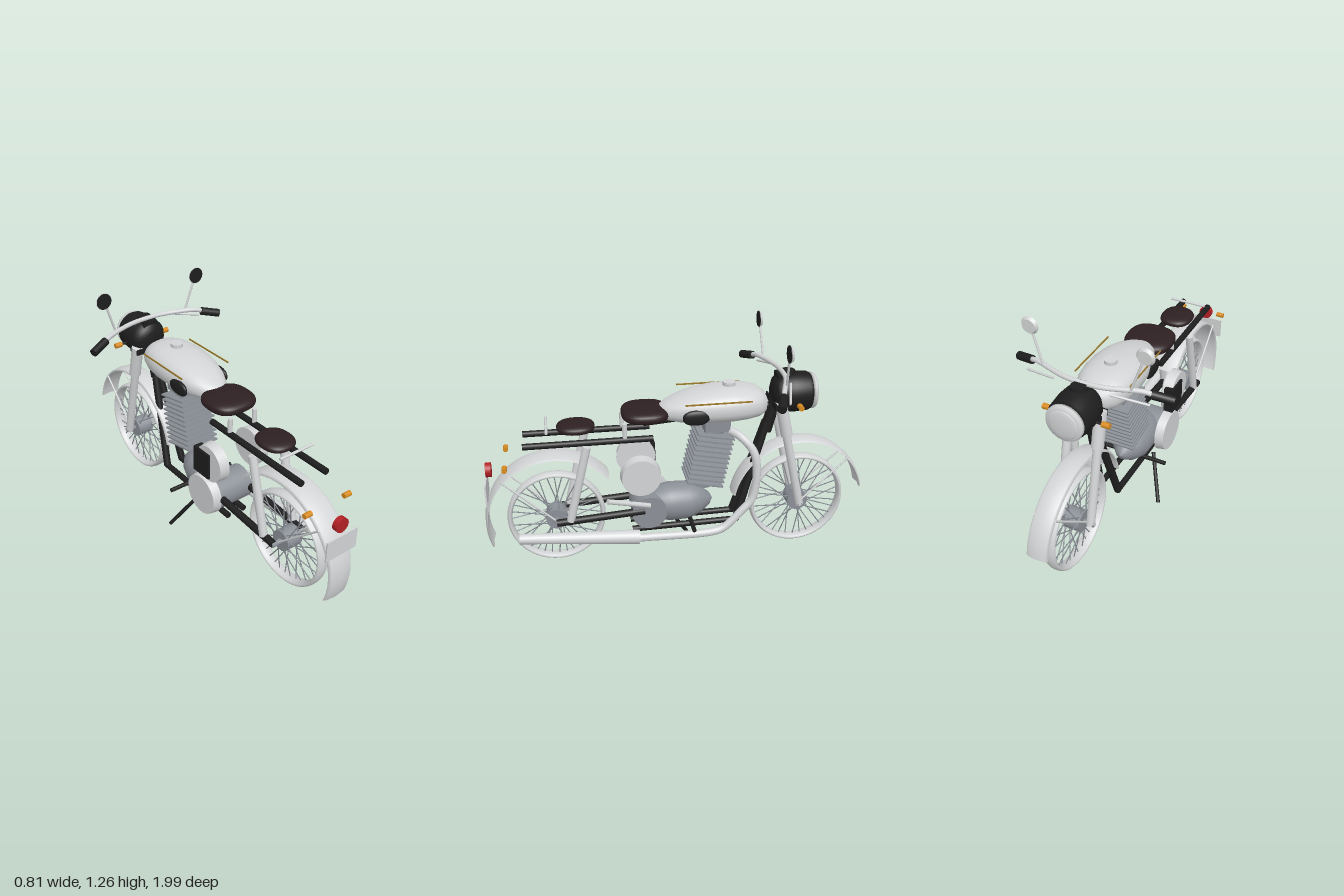
import * as THREE from 'three';

const mat = (name, color, side = THREE.FrontSide) => {
  const m = new THREE.MeshStandardMaterial({ color, side });
  m.name = name;
  return m;
};
const V = (p) => new THREE.Vector3(...p);

export function createModel() {
  const silver = mat('silver', 0xd2d4d5, THREE.DoubleSide);
  const black = mat('black', 0x1e1e1e, THREE.DoubleSide);
  const steel = mat('engineSteel', 0x8b9097);
  const leather = mat('darkLeather', 0x2e2022);
  const orange = mat('orangeLens', 0xd98c20);
  const red = mat('redLens', 0xb22024);
  const gold = mat('goldStripe', 0x9c7a2c);

  const model = new THREE.Group();
  model.name = 'motorcycle';
  const add = (name, geo, m, pos = [0, 0, 0], parent = model) => {
    const mesh = new THREE.Mesh(geo, m);
    mesh.name = name;
    mesh.position.set(...pos);
    parent.add(mesh);
    return mesh;
  };
  // Straight round bar between two points, optionally tapered
  const bar = (name, a, b, r, m, r2 = r, parent = model, sides = 14) => {
    const A = V(a), B = V(b), d = B.clone().sub(A);
    const mesh = add(name, new THREE.CylinderGeometry(r2, r, d.length(), sides), m, [0, 0, 0], parent);
    mesh.position.copy(A).add(B).multiplyScalar(0.5);
    mesh.quaternion.setFromUnitVectors(new THREE.Vector3(0, 1, 0), d.normalize());
    return mesh;
  };
  const tube = (name, pts, r, m) =>
    add(name, new THREE.TubeGeometry(new THREE.CatmullRomCurve3(pts.map(V), false, 'centripetal'), 48, r, 12), m);
  const box = (name, size, m, pos) => add(name, new THREE.BoxGeometry(...size), m, pos);
  const mirror = (fn) => [1, -1].forEach(fn);
  // Rounded pad: sphere pushed towards a box
  const pad = (name, size, k, m, pos) => {
    const g = new THREE.SphereGeometry(1, 32, 20), p = g.attributes.position;
    const f = (v) => Math.sign(v) * Math.abs(v) ** k;
    for (let i = 0; i < p.count; i++) p.setXYZ(i, f(p.getX(i)) * size[0], f(p.getY(i)) * size[1], f(p.getZ(i)) * size[2]);
    g.computeVertexNormals();
    return add(name, g, m, pos);
  };
  // Ring or arc around the x axis from a (radius, x) profile; angles run from +z to +y
  const spin = (pts, seg, from = 0, sweep = 360) =>
    new THREE.LatheGeometry(pts.map((p) => new THREE.Vector2(...p)), seg,
      THREE.MathUtils.degToRad(from), THREE.MathUtils.degToRad(sweep)).rotateZ(Math.PI / 2);

  // Wheels: slim rim, hub and crossed spokes
  const wheel = (name, y, z, R) => {
    const g = new THREE.Group();
    g.name = name;
    g.position.set(0, y, z);
    model.add(g);
    const prof = [];
    for (let i = 0; i <= 12; i++) {
      const a = (i / 12) * Math.PI * 2;
      prof.push([R - 0.013 + 0.013 * Math.cos(a), 0.033 * Math.sin(a)]);
    }
    add('tyre', spin(prof, 64), silver, [0, 0, 0], g);
    bar('hub', [-0.045, 0, 0], [0.045, 0, 0], 0.055, steel, 0.055, g, 24);
    bar('axle', [-0.1, 0, 0], [0.1, 0, 0], 0.014, steel, 0.014, g);
    for (let i = 0; i < 36; i++) {
      const a = (i / 36) * Math.PI * 2, s = i % 2 ? 1 : -1, b = a + (i % 4 < 2 ? 0.35 : -0.35);
      bar('spoke', [s * 0.036, 0.05 * Math.sin(b), 0.05 * Math.cos(b)],
        [0, (R - 0.022) * Math.sin(a), (R - 0.022) * Math.cos(a)], 0.003, steel, 0.003, g, 5);
    }
  };
  wheel('rearWheel', 0.307, 0.638, 0.252);
  wheel('frontWheel', 0.303, -0.638, 0.258);

  // Crowned fenders and their stays
  const fender = (name, w, y, z, from, sweep) => {
    const prof = [[0.347, -w], [0.356, -w * 0.8], [0.362, 0], [0.356, w * 0.8], [0.347, w],
      [0.345, w * 0.8], [0.351, 0], [0.345, -w * 0.8], [0.347, -w]];
    add(name, spin(prof, 48, from, sweep), silver, [0, y, z]);
  };
  fender('rearFender', 0.072, 0.307, 0.638, -20, 160);
  fender('frontFender', 0.056, 0.303, -0.636, 10, 160);
  mirror((s) => {
    bar('rearFenderStay', [s * 0.07, 0.31, 0.64], [s * 0.07, 0.555, 0.9], 0.005, silver);
    bar('frontFenderStay', [s * 0.07, 0.31, -0.638], [s * 0.055, 0.54, -0.895], 0.005, silver);
  });

  // Frame
  bar('steeringNeck', [0, 0.93, -0.51], [0, 0.71, -0.455], 0.03, black);
  bar('backbone', [0, 0.85, -0.46], [0, 0.8, 0.18], 0.02, black);
  mirror((s) => {
    bar('downTube', [s * 0.01, 0.76, -0.455], [s * 0.05, 0.225, -0.3], 0.02, black);
    bar('lowerTube', [s * 0.05, 0.225, -0.31], [s * 0.05, 0.215, 0.25], 0.016, black);
    bar('swingArm', [s * 0.09, 0.31, 0.64], [s * 0.09, 0.342, 0.19], 0.019, black);
    bar('rackRail', [s * 0.075, 0.743, 0.14], [s * 0.075, 0.743, 0.78], 0.016, black);
    bar('rearShock', [s * 0.094, 0.73, 0.47], [s * 0.094, 0.32, 0.57], 0.021, silver);
    bar('seatPost', [s * 0.075, 0.75, 0.28], [s * 0.075, 0.83, 0.28], 0.012, silver);
    bar('forkLeg', [s * 0.08, 0.3, -0.638], [s * 0.08, 0.86, -0.51], 0.022, silver);
    bar('forkShroud', [s * 0.08, 0.71, -0.546], [s * 0.08, 0.89, -0.505], 0.031, silver);
  });
  box('forkClamp', [0.2, 0.03, 0.07], black, [0, 0.87, -0.51]);
  bar('rackCrossbar', [-0.1, 0.817, 0.66], [0.1, 0.817, 0.66], 0.007, silver);

  // Seats
  pad('riderSeat', [0.125, 0.037, 0.12], 0.75, leather, [0, 0.856, 0.17]);
  pad('rearSeat', [0.086, 0.028, 0.095], 0.85, leather, [0, 0.802, 0.516]);

  // Fuel tank lofted along z: [z, half width, bottom, top]
  const sections = [[0.11, 0.012, 0.845, 0.868], [0.095, 0.045, 0.83, 0.89], [0.06, 0.078, 0.815, 0.91],
    [0, 0.108, 0.805, 0.935], [-0.08, 0.13, 0.8, 0.957], [-0.17, 0.142, 0.797, 0.97], [-0.26, 0.143, 0.797, 0.975],
    [-0.34, 0.132, 0.802, 0.97], [-0.4, 0.108, 0.81, 0.955], [-0.435, 0.076, 0.828, 0.93], [-0.45, 0.03, 0.86, 0.9]];
  const n = 32, pos = [], idx = [];
  sections.forEach(([z, w, y0, y1], j) => {
    for (let i = 0; i < n; i++) {
      const a = (i / n) * Math.PI * 2, c = Math.cos(a), s = Math.sin(a);
      const f = (v) => Math.sign(v) * Math.abs(v) ** 0.85;
      pos.push(w * f(c), (y0 + y1) / 2 + ((y1 - y0) / 2) * f(s), z);
      if (j) {
        const k = (i + 1) % n, A = (j - 1) * n, B = j * n;
        idx.push(A + i, B + i, A + k, A + k, B + i, B + k);
      }
    }
  });
  [0, sections.length - 1].forEach((j) => {
    const [z, , y0, y1] = sections[j], c = pos.length / 3;
    pos.push(0, (y0 + y1) / 2, z);
    for (let i = 0; i < n; i++) {
      const a = j * n + i, b = j * n + ((i + 1) % n);
      idx.push(c, j ? b : a, j ? a : b);
    }
  });
  const tank = new THREE.BufferGeometry();
  tank.setAttribute('position', new THREE.Float32BufferAttribute(pos, 3));
  tank.setIndex(idx);
  tank.computeVertexNormals();
  add('fuelTank', tank, silver);
  add('tankCap', new THREE.CylinderGeometry(0.032, 0.032, 0.025, 24), silver, [0, 0.979, -0.255]);
  mirror((s) => {
    box('tankStripe', [0.005, 0.007, 0.33], gold, [s * 0.143, 0.934, -0.177]);
    pad('kneePad', [0.018, 0.039, 0.068], 0.9, black, [s * 0.126, 0.859, -0.068]);
  });

  // Headlight and instrument
  const lathe = (pts) => new THREE.LatheGeometry(pts.map((p) => new THREE.Vector2(...p)), 36).rotateX(Math.PI / 2);
  add('headlightShell', lathe([[0, -0.675], [0.09, -0.675], [0.1, -0.655], [0.105, -0.58], [0.1, -0.52],
    [0.08, -0.49], [0.045, -0.475], [0, -0.473]]), black, [0, 0.918, 0]);
  add('headlightRing', lathe([[0, -0.7], [0.07, -0.699], [0.088, -0.695], [0.094, -0.685], [0.092, -0.67], [0, -0.67]]),
    silver, [0, 0.918, 0]);
  pad('headlightLens', [0.075, 0.075, 0.012], 1, silver, [0, 0.918, -0.697]);
  add('speedometer', new THREE.CylinderGeometry(0.036, 0.04, 0.04, 20), black, [0, 1.015, -0.555]);
  box('barClamp', [0.08, 0.045, 0.05], black, [0, 1.0, -0.52]);

  // Handlebar, grips, levers and mirrors
  tube('handlebar', [[-0.32, 1.011, -0.443], [-0.27, 1.027, -0.46], [-0.1, 1.03, -0.515], [0, 1.03, -0.523],
    [0.1, 1.03, -0.515], [0.27, 1.027, -0.46], [0.32, 1.011, -0.443]], 0.012, silver);
  mirror((s) => {
    bar('grip', [s * 0.3, 1.015, -0.449], [s * 0.395, 0.99, -0.415], 0.021, black);
    bar('lever', [s * 0.14, 1.015, -0.53], [s * 0.31, 0.98, -0.48], 0.006, silver);
    bar('mirrorStem', [s * 0.22, 1.035, -0.485], [s * 0.268, 1.18, -0.475], 0.006, silver);
    bar('mirrorBack', [s * 0.283, 1.217, -0.484], [s * 0.283, 1.217, -0.47], 0.034, silver, 0.044, model, 28);
    bar('mirrorGlass', [s * 0.283, 1.217, -0.47], [s * 0.283, 1.217, -0.467], 0.041, black, 0.041, model, 28);
    // Turn signals
    bar('frontSignal', [s * 0.13, 0.89, -0.586], [s * 0.169, 0.89, -0.586], 0.014, orange);
    bar('frontSignalStalk', [s * 0.09, 0.89, -0.586], [s * 0.13, 0.89, -0.586], 0.006, black);
    bar('rearSignal', [s * 0.1, 0.652, 0.872], [s * 0.14, 0.652, 0.872], 0.013, orange);
  });

  // Tail light and rear plate
  bar('tailLight', [0, 0.597, 0.944], [0, 0.597, 0.972], 0.037, red, 0.037, model, 24);
  box('rearPlate', [0.185, 0.11, 0.008], silver, [0, 0.493, 0.976]);

  // Engine: crankcase, gearbox, finned cylinder leaning forward
  add('crankcase', lathe([[0, -0.18], [0.03, -0.165], [0.075, -0.11], [0.1, -0.05], [0.103, 0.05], [0.09, 0.12],
    [0.06, 0.18], [0, 0.2]]), steel, [0, 0.338, 0]);
  bar('gearbox', [-0.1, 0.33, 0.165], [0.1, 0.33, 0.165], 0.09, steel, 0.09, model, 24);
  const barrel = new THREE.Group();
  barrel.name = 'cylinderBarrel';
  barrel.position.set(0, 0.44, -0.12);
  barrel.rotation.x = -0.2;
  model.add(barrel);
  add('barrelCore', new THREE.CylinderGeometry(0.056, 0.056, 0.33, 24), steel, [0, 0.155, 0], barrel);
  for (let i = 0; i < 11; i++)
    add('coolingFin', new THREE.BoxGeometry(0.19, 0.008, 0.19), steel, [0, 0.025 + i * 0.027, 0], barrel);
  box('cylinderHead', [0.13, 0.06, 0.13], steel, [0, 0.775, -0.19]);
  bar('sideCover', [-0.1, 0.33, 0.14], [-0.147, 0.33, 0.14], 0.115, silver, 0.108, model, 36);

  // Side drums and battery box
  mirror((s) => bar('sideDrum', [s * 0.1, 0.562, 0.21], [s * 0.153, 0.562, 0.21], 0.103, silver, 0.097, model, 36));
  box('batteryBox', [0.05, 0.14, 0.12], black, [-0.14, 0.55, 0.165]);

  // Exhaust on the left side
  tube('exhaustPipe', [[0.04, 0.745, -0.25], [0.1, 0.725, -0.305], [0.138, 0.64, -0.368], [0.145, 0.4, -0.363],
    [0.15, 0.335, -0.31], [0.155, 0.24, -0.21], [0.16, 0.225, -0.15], [0.163, 0.228, 0.24]], 0.021, silver);
  bar('muffler', [0.164, 0.235, 0.23], [0.172, 0.285, 0.83], 0.037, silver, 0.025, model, 24);

  // Pegs, kick lever and side stand
  bar('footPegs', [-0.2, 0.265, -0.05], [0.2, 0.265, -0.05], 0.011, black);
  bar('kickLever', [0.1, 0.375, 0.165], [0.178, 0.462, 0.385], 0.013, silver);
  bar('sideStand', [-0.09, 0.23, 0.04], [-0.183, 0.008, -0.09], 0.01, black);
  return model;
}
